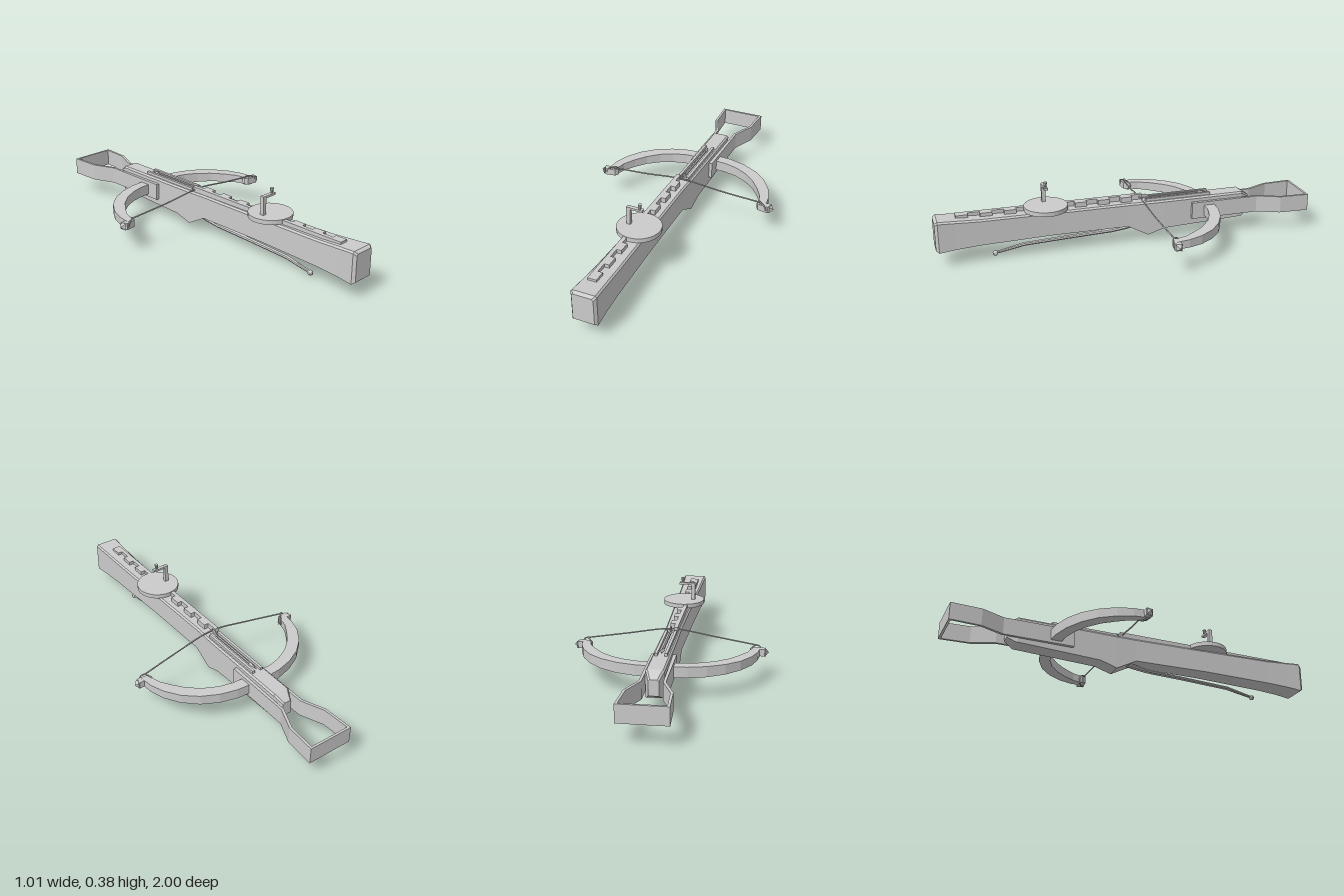
import * as THREE from 'three';

const mat = new THREE.MeshStandardMaterial({ color: 0xcccccc, flatShading: true });

function add(group, name, geo, x = 0, y = 0, z = 0) {
  const m = new THREE.Mesh(geo, mat);
  m.name = name;
  m.position.set(x, y, z);
  group.add(m);
  return m;
}

// Skin over rings of points; each ring runs counterclockwise seen from the starting end
function loft(rings) {
  const n = rings[0].length, last = (rings.length - 1) * n, idx = [];
  for (let i = 0; i < rings.length - 1; i++) {
    for (let j = 0; j < n; j++) {
      const a = i * n + j, b = i * n + (j + 1) % n;
      idx.push(a, a + n, b + n, a, b + n, b);
    }
  }
  for (let k = 1; k < n - 1; k++) idx.push(0, k, k + 1, last, last + k + 1, last + k);
  const g = new THREE.BufferGeometry();
  g.setAttribute('position', new THREE.Float32BufferAttribute(rings.flat(2), 3));
  g.setIndex(idx);
  const flat = g.toNonIndexed();
  flat.computeVertexNormals();
  return flat;
}

// Plan outline of [x, z] points, thickened downward from yTop
function slab(points, yTop, depth) {
  const shape = new THREE.Shape(points.map(([x, z]) => new THREE.Vector2(x, z)));
  const g = new THREE.ExtrudeGeometry(shape, { depth, bevelEnabled: false });
  return g.rotateX(Math.PI / 2).translate(0, yTop, 0);
}

const mirror = (half) => [...half, ...half.map(([x, z]) => [-x, z]).reverse()];

export function createModel() {
  const g = new THREE.Group();
  g.name = 'crossbow';

  // Stock: z, half width, bottom, top
  const stations = [
    [1, 0.055, 0.09, 0.232], [0.985, 0.066, 0.079, 0.243], [0.9, 0.062, 0.088, 0.238],
    [0.78, 0.058, 0.094, 0.231], [0.4, 0.05, 0.1, 0.226], [0, 0.042, 0.095, 0.222],
    [-0.11, 0.044, 0.036, 0.221], [-0.2, 0.045, 0.064, 0.221],
    [-0.64, 0.046, 0.083, 0.222], [-0.65, 0.04, 0.086, 0.216], [-0.69, 0.025, 0.11, 0.19],
  ];
  add(g, 'stock', loft(stations.map(([z, w, b, t]) => [
    [-w, b, z], [w, b, z], [w, t - 0.009, z], [w - 0.008, t, z], [-w + 0.008, t, z], [-w, t - 0.009, z],
  ])));

  // Foot stirrup: one bent strap at the back
  add(g, 'stirrup', slab([
    ...mirror([[0.063, -0.35], [0.063, -0.72], [0.113, -0.84], [0.121, -1]]),
    ...mirror([[-0.045, -0.35], [-0.05, -0.725], [-0.1, -0.845], [-0.108, -0.988]]),
  ], 0.195, 0.09));

  // Bow limbs: outer x, z, inner x, z, half height
  const half = [
    [0.46, -0.115, 0.42, -0.12, 0.019], [0.452, -0.19, 0.402, -0.19, 0.021],
    [0.425, -0.265, 0.365, -0.25, 0.023], [0.375, -0.34, 0.318, -0.31, 0.024],
    [0.305, -0.402, 0.258, -0.36, 0.026], [0.22, -0.446, 0.19, -0.395, 0.027],
    [0.13, -0.47, 0.12, -0.414, 0.028], [0.05, -0.476, 0.05, -0.418, 0.028],
  ];
  const bow = [...half, ...half.map(([a, b, c, d, h]) => [-a, b, -c, d, h]).reverse()];
  add(g, 'bowLimbs', loft(bow.map(([ox, oz, ix, iz, h]) => [
    [ix, 0.148 - h, iz], [ox, 0.148 - h, oz], [ox, 0.148 + h, oz], [ix, 0.148 + h, iz],
  ])));

  // Nocks and string loops at both limb tips
  for (const s of [-1, 1]) {
    const side = s > 0 ? 'left' : 'right';
    const nock = [[0.408, -0.13], [0.46, -0.14], [0.49, -0.138], [0.475, -0.104], [0.42, -0.112]];
    add(g, side + 'Nock', slab(nock.map(([x, z]) => [s * x, z]), 0.166, 0.036));
    const point = new THREE.ConeGeometry(0.025, 0.02, 4).rotateY(Math.PI / 4).rotateZ(-s * Math.PI / 2);
    add(g, side + 'NockPoint', point, s * 0.494, 0.148, -0.123);
    const loop = new THREE.CatmullRomCurve3([
      [0.438, 0.18, -0.11], [0.46, 0.165, -0.102], [0.462, 0.13, -0.115],
      [0.42, 0.126, -0.146], [0.412, 0.16, -0.146],
    ].map(([x, y, z]) => new THREE.Vector3(s * x, y, z)), true);
    add(g, side + 'StringLoop', new THREE.TubeGeometry(loop, 20, 0.004, 5, true));
  }

  // Bowstring: nearly straight from each tip to the stock
  const string = new THREE.CatmullRomCurve3([
    [-0.438, 0.18, -0.112], [-0.22, 0.208, -0.088], [-0.04, 0.234, -0.076],
    [0.04, 0.234, -0.076], [0.22, 0.208, -0.088], [0.438, 0.18, -0.112],
  ].map((p) => new THREE.Vector3(...p)));
  add(g, 'bowstring', new THREE.TubeGeometry(string, 24, 0.004, 5));

  // Guide rails and the loaded bolt
  for (const s of [-1, 1]) add(g, 'guideRail', new THREE.BoxGeometry(0.014, 0.02, 0.36), s * 0.024, 0.226, -0.28);
  add(g, 'boltShaft', new THREE.CylinderGeometry(0.006, 0.006, 0.32, 6).rotateX(Math.PI / 2), 0, 0.231, -0.25);
  add(g, 'boltHead', new THREE.ConeGeometry(0.011, 0.05, 4).rotateX(-Math.PI / 2), 0, 0.231, -0.425);
  for (let i = 0; i < 3; i++) {
    const vane = slab([[0, -0.14], [0.02, -0.105], [0.02, -0.08], [0, -0.09]], 0.001, 0.002);
    add(g, 'boltVane', vane, 0, 0.233, 0).rotation.z = Math.PI / 2 + i * Math.PI * 2 / 3;
  }

  // Toothed rack along the top
  const rack = [[-0.033, 0.89], [-0.033, -0.09]];
  for (let i = 0; i < 8; i++) {
    const z = -0.09 + i * 0.1225;
    rack.push([-0.012, z], [-0.012, z + 0.061], [0.013, z + 0.061], [0.013, z + 0.1225]);
  }
  add(g, 'rack', slab(rack, 0.249, 0.032));

  // Winding wheel with crank
  add(g, 'windingWheel', new THREE.CylinderGeometry(0.113, 0.113, 0.023, 32), 0, 0.241, 0.43);
  add(g, 'crankPost', new THREE.BoxGeometry(0.02, 0.1, 0.02), -0.054, 0.3, 0.43);
  add(g, 'crankArm', new THREE.BoxGeometry(0.088, 0.011, 0.02), -0.02, 0.344, 0.43);
  add(g, 'crankKnob', new THREE.CylinderGeometry(0.01, 0.006, 0.028, 8), 0.006, 0.363, 0.43);

  // Trigger lever under the stock: z, centre y, half width, half height
  const lever = [
    [0.7, 0.016, 0.008, 0.006], [0.63, 0.03, 0.01, 0.008], [0.55, 0.046, 0.012, 0.009],
    [0.3, 0.057, 0.013, 0.009], [0.08, 0.065, 0.014, 0.01], [0, 0.076, 0.016, 0.012], [-0.07, 0.09, 0.016, 0.014],
  ];
  add(g, 'triggerLever', loft(lever.map(([z, y, w, h]) => Array.from({ length: 8 }, (_, k) => {
    const a = k * Math.PI / 4;
    return [-0.004 + w * Math.cos(a), y + h * Math.sin(a), z];
  }))));
  add(g, 'triggerKnob', new THREE.SphereGeometry(0.014, 10, 8), -0.004, 0.015, 0.7);

  return g;
}
